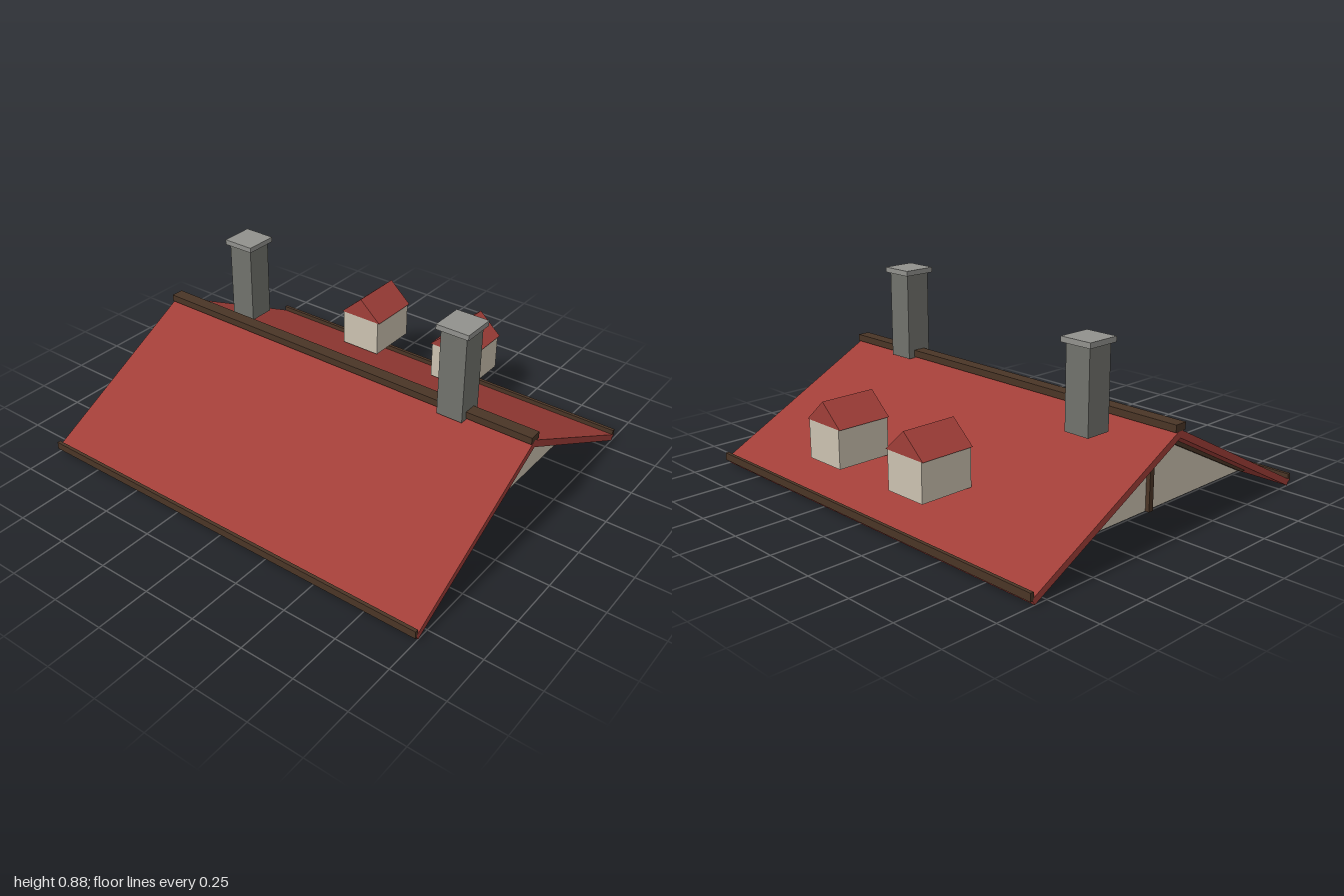
import * as THREE from 'three';

export function createModel() {
  const model = new THREE.Group();
  const mat = (name, color) => {
    const m = new THREE.MeshStandardMaterial({ color });
    m.name = name;
    return m;
  };
  const red = mat('roof red', 0xa03e38);
  const brown = mat('dark timber', 0x4a3526);
  const cream = mat('cream plaster', 0xcbc2b0);
  const stone = mat('chimney grey', 0x71726c);
  const capGrey = mat('cap grey', 0x91918d);

  const add = (name, geometry, material, x = 0, y = 0, z = 0, parent = model) => {
    const mesh = new THREE.Mesh(geometry, material);
    mesh.name = name;
    mesh.position.set(x, y, z);
    parent.add(mesh);
    return mesh;
  };
  const box = (name, material, w, h, d, x, y, z, parent) =>
    add(name, new THREE.BoxGeometry(w, h, d), material, x, y, z, parent);

  // Extrude a profile, centred on its depth axis
  const prism = (points, depth) => {
    const shape = new THREE.Shape(points.map(([a, b]) => new THREE.Vector2(a, b)));
    const g = new THREE.ExtrudeGeometry(shape, { depth, bevelEnabled: false });
    return g.translate(0, 0, -depth / 2);
  };
  // Same, with the depth running along x and the profile in z and y
  const prismX = (points, depth) => prism(points, depth).rotateY(Math.PI / 2);

  // Main roof: two sloping slabs meeting at the ridge
  add('mainRoof', prismX([
    [0, 0.46], [-0.826, 0.026], [-0.812, 0], [0, 0.425], [0.812, 0], [0.826, 0.026],
  ], 2), red);

  // Ridge beam and eave boards
  box('ridgeBeam', brown, 2, 0.032, 0.06, 0, 0.469, 0);
  for (const s of [1, -1]) {
    box('eaveBoard', brown, 2, 0.035, 0.016, 0, 0.036, s * 0.825);
  }

  // Recessed gable walls with timber trim on the outer face
  for (const s of [1, -1]) {
    add('gableWall', prismX([[-0.67, 0.075], [0.67, 0.075], [0, 0.424]], 0.045), cream, s * 0.828);
    add('gableRake', prismX([
      [0, 0.426], [-0.67, 0.075], [-0.642, 0.075], [0, 0.402], [0.642, 0.075], [0.67, 0.075],
    ], 0.02), brown, s * 0.86);
    box('gablePost', brown, 0.02, 0.335, 0.025, s * 0.86, 0.2425, 0);
  }

  // Chimneys with projecting caps
  const chimney = (x, z, bottom, top) => {
    const g = new THREE.Group();
    g.name = 'chimney';
    g.position.set(x, 0, z);
    model.add(g);
    box('chimneyStack', stone, 0.124, top - bottom, 0.124, 0, (top + bottom) / 2, 0, g);
    box('chimneyCap', capGrey, 0.155, 0.024, 0.155, 0, top + 0.012, 0, g);
  };
  chimney(0.628, 0, 0.447, 0.853);
  chimney(-0.67, -0.178, 0.413, 0.783);

  // Pair of dormers on the rear slope
  for (const x of [-0.265, 0.263]) {
    const g = new THREE.Group();
    g.name = 'dormer';
    g.position.set(x, 0, -0.658);
    model.add(g);
    box('dormerBody', cream, 0.206, 0.175, 0.26, 0, 0.2735, 0, g);
    add('dormerRoof', prism([[-0.113, 0.361], [0.113, 0.361], [0, 0.462]], 0.262), red, 0, 0, 0, g);
  }

  return model;
}
